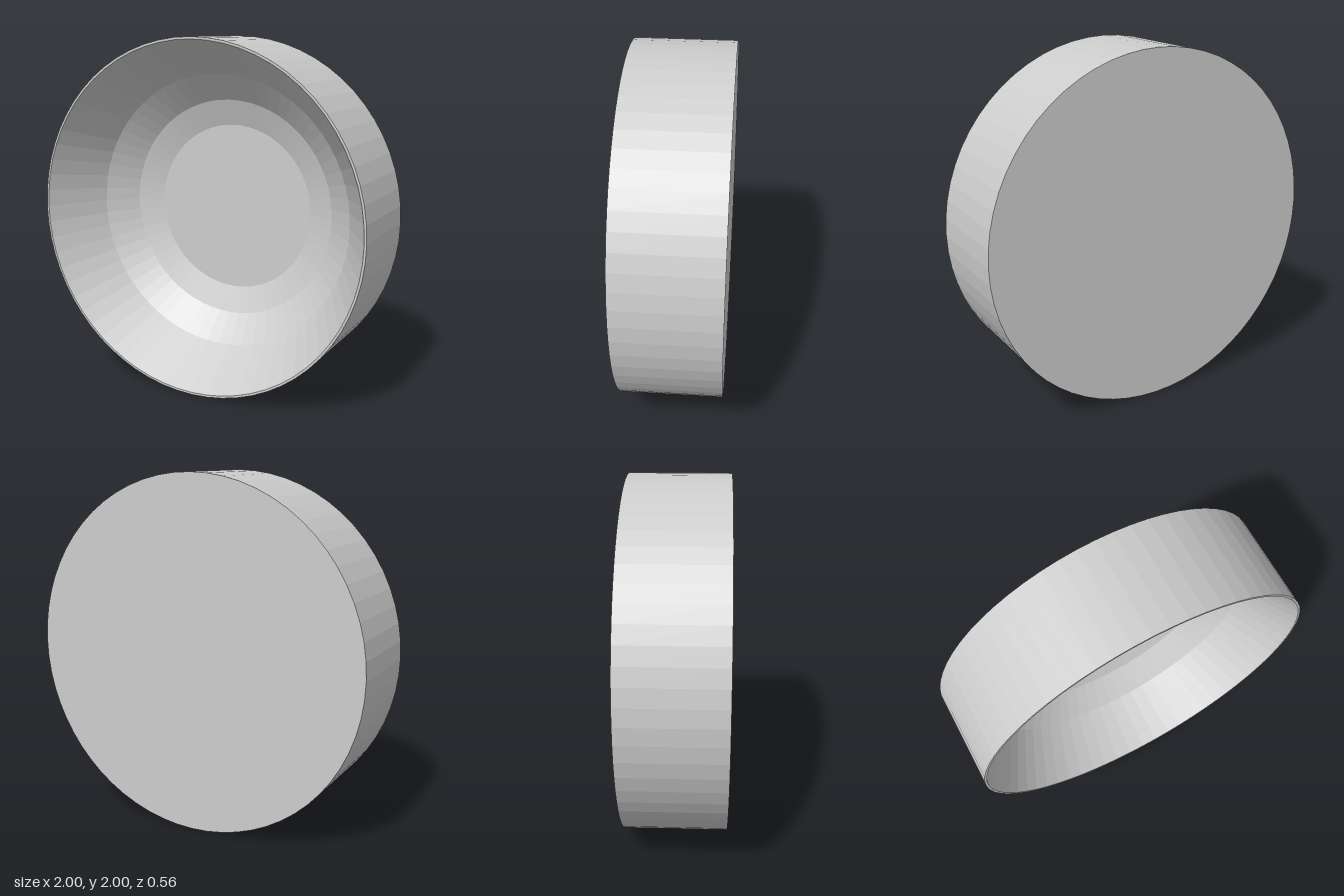
import * as THREE from 'three';

const SIDES = 64;

export function createModel() {
  const model = new THREE.Group();
  model.name = 'roundDish';
  const grey = new THREE.MeshStandardMaterial({ color: 0xcccccc, flatShading: true });
  grey.name = 'light grey';

  // Turns a profile of [radius, depth] points around the z axis
  const turned = (name, profile) => {
    const points = profile.map(([r, z]) => new THREE.Vector2(r, z));
    const geometry = new THREE.LatheGeometry(points, SIDES).rotateX(Math.PI / 2);
    const mesh = new THREE.Mesh(geometry, grey);
    mesh.name = name;
    mesh.position.y = 1;
    model.add(mesh);
  };

  // Flat back, straight outer wall and thin rim
  turned('backPlate', [[0, -0.28], [1, -0.28]]);
  turned('outerWall', [[1, -0.28], [1, 0.28]]);
  turned('rim', [[1, 0.28], [0.987, 0.28]]);

  // Bowl stepping down in three facets to a flat floor
  turned('bowl', [[0.987, 0.28], [0.795, -0.04], [0.64, -0.175], [0.49, -0.23]]);
  turned('floor', [[0.49, -0.23], [0, -0.23]]);

  return model;
}
